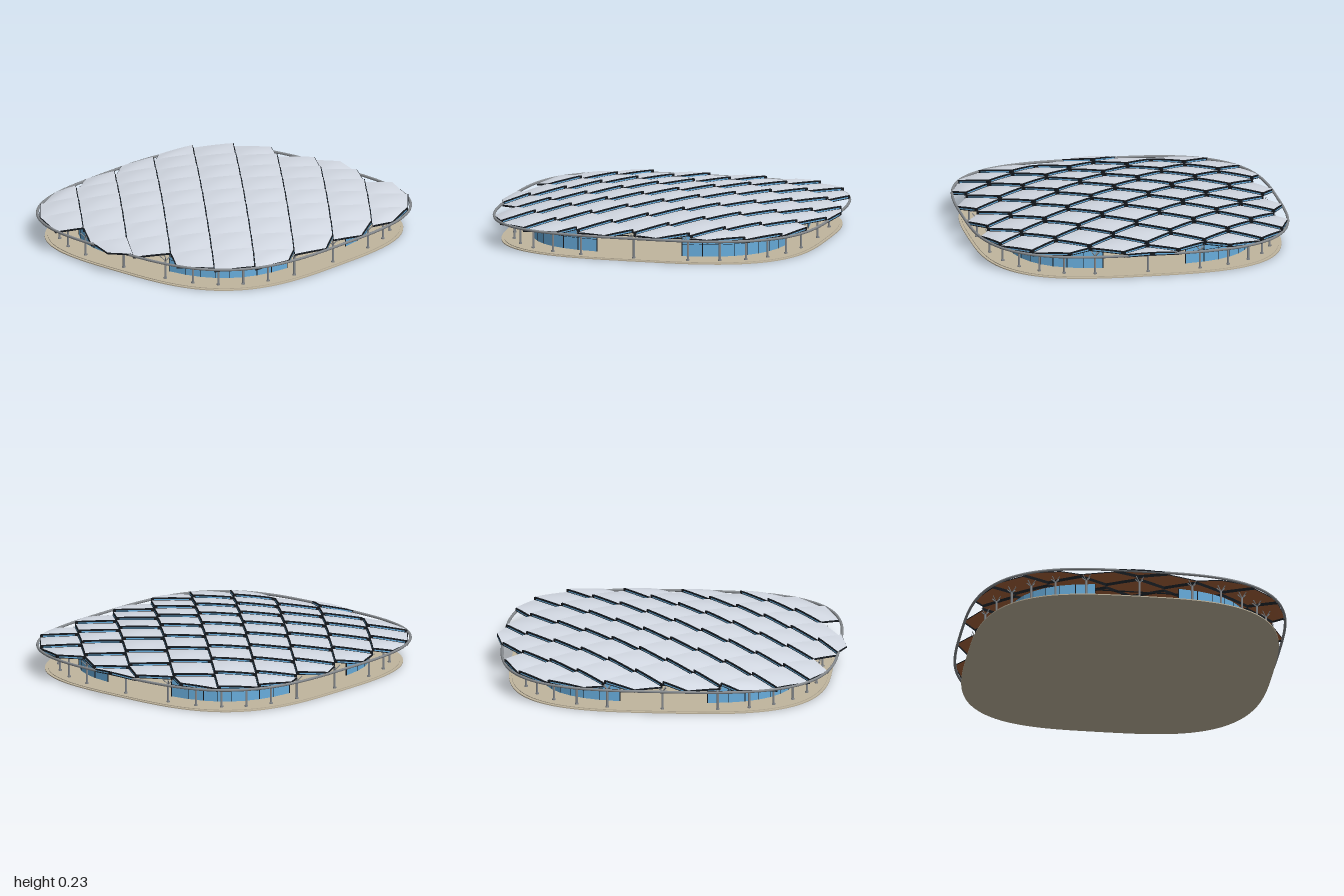
import * as THREE from 'three';
import { mergeGeometries } from 'three/addons/utils/BufferGeometryUtils.js';

const mat = (name, color, double = false) => {
  const m = new THREE.MeshStandardMaterial({ color });
  m.name = name;
  if (double) m.side = THREE.DoubleSide;
  return m;
};

const A = 0.915, B = 0.96, N = 3.2; // roof outline: rounded-square half sizes and exponent
const STEP = 1 / 6;                 // half diagonal of a roof scale
const TILT = 0.018;                 // how far each scale rises towards the back
const TRIM = 0.006;                 // scale thickness
const PILLOW = 0.011;               // bulge in the middle of each scale

const radius = (x, z) => (Math.abs(x / A) ** N + Math.abs(z / B) ** N) ** (1 / N);
const dome = (x, z) => 0.149 + 0.06 * (1 - Math.min(1, radius(x, z)) ** 2);

// point on a rounded square, angle measured from +x
function outline(a, b, t, n = N) {
  const c = Math.cos(t), s = Math.sin(t);
  return [a * Math.sign(c) * Math.abs(c) ** (2 / n), b * Math.sign(s) * Math.abs(s) ** (2 / n)];
}

export function createModel() {
  const model = new THREE.Group();
  const panel = mat('roof panel grey', 0xd3d9e3);
  const dark = mat('dark frame', 0x15191e, true);
  const glass = mat('blue glass', 0x68addc, true);
  const soffit = mat('brown soffit', 0xa7623a);
  const stone = mat('beige floor', 0xc0b59e);
  const steel = mat('grey steel', 0x868a8e);
  const wood = mat('orange wood', 0xc8713a);
  const cloth = mat('cream cushion', 0xd6cbb0);

  const add = (name, geometry, material) => {
    const m = new THREE.Mesh(geometry, material);
    m.name = name;
    model.add(m);
  };
  const box = (w, h, d, x, y, z) => new THREE.BoxGeometry(w, h, d).translate(x, y, z);
  const rod = (p, q, r, sides = 8) => {
    const a = new THREE.Vector3(...p), d = new THREE.Vector3(...q).sub(a);
    const g = new THREE.CylinderGeometry(r, r, d.length(), sides);
    g.applyQuaternion(new THREE.Quaternion().setFromUnitVectors(new THREE.Vector3(0, 1, 0), d.clone().normalize()));
    return g.translate(a.x + d.x / 2, a.y + d.y / 2, a.z + d.z / 2);
  };

  // floor slab in two steps
  const slab = (a, b, y, h) => {
    const pts = [];
    for (let i = 0; i < 96; i++) pts.push(new THREE.Vector2(...outline(a, b, (i / 96) * Math.PI * 2)));
    return new THREE.ExtrudeGeometry(new THREE.Shape(pts), { depth: h, bevelEnabled: false })
      .rotateX(-Math.PI / 2).translate(0, y, 0);
  };
  add('floorSlab', mergeGeometries([slab(0.88, 0.92, 0, 0.006), slab(0.865, 0.905, 0.006, 0.004)]), stone);

  // roof scales
  const parts = { panels: [], trims: [], glazing: [], soffits: [] };
  const corner = (i, j) => {
    const x = i * STEP, z = j * STEP;
    if (i === 0 && Math.abs(j) === 7) return [0, Math.sign(j)];
    const r = Math.max(1, radius(x, z));
    return [x / r, z / r];
  };
  function addScale(i, j) {
    const F = corner(i, j + 1), R = corner(i + 1, j), L = corner(i - 1, j), K = corner(i, j - 1);
    const point = (u, v, dy) => {
      const w = [(1 - u) * (1 - v), u * (1 - v), (1 - u) * v, u * v];
      const x = w[0] * F[0] + w[1] * R[0] + w[2] * L[0] + w[3] * K[0];
      const z = w[0] * F[1] + w[1] * R[1] + w[2] * L[1] + w[3] * K[1];
      const bulge = PILLOW * 16 * u * v * (1 - u) * (1 - v);
      return [x, dome(x, z) + TILT * (u + v - 1) + bulge + dy, z];
    };
    const warp = (sx, sy, rule) => {
      const g = new THREE.PlaneGeometry(1, 1, sx, sy), p = g.attributes.position;
      for (let k = 0; k < p.count; k++) p.setXYZ(k, ...rule(p.getX(k) + 0.5, p.getY(k) + 0.5));
      g.computeVertexNormals();
      return g;
    };
    const inset = (t) => 0.02 + t * 0.96;
    parts.panels.push(warp(4, 4, (s, t) => point(inset(s), inset(t), 0.0025)));
    parts.trims.push(warp(4, 4, (s, t) => point(s, t, 0)));
    parts.soffits.push(warp(4, 4, (s, t) => point(t, s, -TRIM)));
    // thin fascias on the two front edges
    for (const edge of [(s) => [s, 0], (s) => [0, s]]) {
      parts.trims.push(warp(4, 1, (s, t) => point(...edge(s), -TRIM * t)));
    }
    // deep frames on the two back edges, each with a clerestory pane
    for (const edge of [(s, e) => [e, s], (s, e) => [s, e]]) {
      parts.trims.push(warp(4, 1, (s, t) => point(...edge(s, 1), -TILT * t)));
      parts.glazing.push(warp(4, 1, (s, t) => point(...edge(0.08 + 0.84 * s, 1.006), -0.006 - 0.007 * t)));
    }
  }
  for (let i = -6; i <= 6; i++) {
    for (let j = -6; j <= 6; j++) {
      if ((i + j) % 2 !== 0) continue;
      if (radius(i * STEP, j * STEP) < 1 || (i === 0 && Math.abs(j) === 6)) addScale(i, j);
    }
  }
  add('roofPanels', mergeGeometries(parts.panels), panel);
  add('roofTrim', mergeGeometries(parts.trims), dark);
  add('clerestoryGlass', mergeGeometries(parts.glazing), glass);
  add('roofSoffit', mergeGeometries(parts.soffits), soffit);

  // perimeter ring beam
  const ringPts = [];
  for (let i = 0; i < 64; i++) {
    const [x, z] = outline(A, B, (i / 64) * Math.PI * 2);
    ringPts.push(new THREE.Vector3(x, 0.141, z));
  }
  add('ringBeam', new THREE.TubeGeometry(new THREE.CatmullRomCurve3(ringPts, true), 192, 0.008, 8, true), steel);

  // branching columns
  const columns = [];
  for (let i = 0; i < 28; i++) {
    const [x, z] = outline(0.83, 0.86, (i / 28) * Math.PI * 2, 3);
    columns.push(rod([x, 0.01, z], [x, 0.12, z], 0.006), rod([x, 0.01, z], [x, 0.018, z], 0.01));
    for (const [dx, dz] of [[1, 1], [1, -1], [-1, 1], [-1, -1]]) {
      columns.push(rod([x, 0.115, z], [x + dx * 0.022, 0.145, z + dz * 0.022], 0.003, 6));
    }
  }
  add('columns', mergeGeometries(columns), steel);

  // four curved glass corners with frames
  const panes = [], frames = [];
  const PANELS = 8, start = 0.176, end = Math.PI / 2 - start;
  for (let q = 0; q < 4; q++) {
    for (let k = 0; k <= PANELS; k++) {
      const at = (n) => outline(0.71, 0.745, q * Math.PI / 2 + start + (end - start) * n / PANELS);
      const [x, z] = at(k);
      frames.push(box(0.005, 0.138, 0.005, x, 0.079, z));
      if (k === PANELS) continue;
      const [x2, z2] = at(k + 1);
      const len = Math.hypot(x2 - x, z2 - z), turn = -Math.atan2(z2 - z, x2 - x);
      const bar = (h, d, y) => new THREE.BoxGeometry(len, h, d).rotateY(turn).translate((x + x2) / 2, y, (z + z2) / 2);
      panes.push(bar(0.138, 0.004, 0.079));
      frames.push(bar(0.002, 0.006, 0.08));
    }
  }
  // thin headers across the four openings
  for (const s of [-1, 1]) {
    frames.push(box(0.48, 0.005, 0.006, 0, 0.112, s * 0.742), box(0.006, 0.005, 0.5, s * 0.707, 0.112, 0));
  }
  add('glassWalls', mergeGeometries(panes), glass);
  add('wallFrames', mergeGeometries(frames), dark);

  // lounge furniture
  add('woodCounters', mergeGeometries([
    box(0.15, 0.018, 0.03, -0.075, 0.019, 0.09), box(0.07, 0.006, 0.1, -0.19, 0.013, 0.17),
  ]), wood);
  const cushions = [];
  for (const [x, z] of [[-0.21, 0.2], [-0.17, 0.14], [0.2, -0.2], [0.18, -0.175]]) {
    cushions.push(box(0.06, 0.022, 0.06, x, 0.022, z), box(0.04, 0.018, 0.02, x + 0.01, 0.042, z - 0.015));
  }
  for (const x of [-0.165, -0.07]) cushions.push(box(0.065, 0.022, 0.006, x, 0.072, 0.12));
  add('cushionsAndBoards', mergeGeometries(cushions), cloth);
  add('hangingRail', mergeGeometries([
    box(0.23, 0.004, 0.006, -0.12, 0.085, 0.12), box(0.004, 0.004, 0.115, -0.235, 0.085, 0.1775),
    box(0.004, 0.076, 0.004, -0.235, 0.048, 0.235), box(0.004, 0.076, 0.004, -0.005, 0.048, 0.12),
  ]), dark);

  return model;
}
